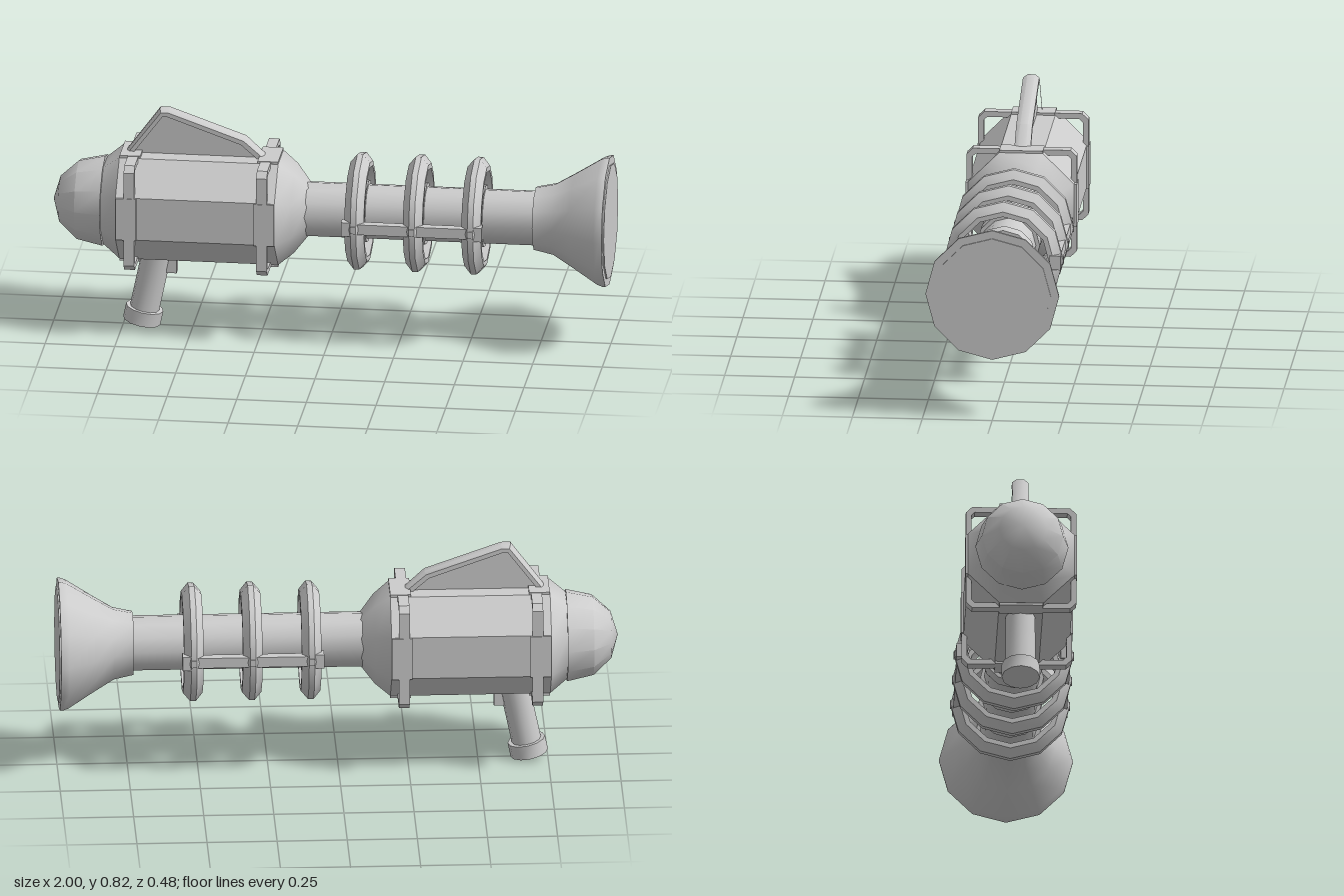
import * as THREE from 'three';
import { toCreasedNormals } from 'three/addons/utils/BufferGeometryUtils.js';

const AXIS = 0.463; // height of the barrel axis

export function createModel() {
  const model = new THREE.Group();
  model.name = 'rayGun';
  const grey = new THREE.MeshStandardMaterial({ color: 0xcccccc });
  grey.name = 'light grey';

  const add = (name, geometry, x = 0, y = 0, z = 0) => {
    const mesh = new THREE.Mesh(toCreasedNormals(geometry, 0.62), grey);
    mesh.name = name;
    mesh.position.set(x, y, z);
    model.add(mesh);
    return mesh;
  };
  const box = (name, w, h, d, x, y, z) => add(name, new THREE.BoxGeometry(w, h, d), x, y, z);
  // Profile of [x, radius] pairs turned around the barrel axis
  const turned = (name, profile, sides, phase = 0, x = 0) => {
    const g = new THREE.LatheGeometry(profile.map(([px, r]) => new THREE.Vector2(r, px)), sides, phase);
    return add(name, g.rotateZ(-Math.PI / 2), x, AXIS, 0);
  };
  const polygon = (points, Type = THREE.Shape) =>
    new Type(points.map(([a, b]) => new THREE.Vector2(a, b)));

  // Octagonal body, rear dome, barrel and flared muzzle
  turned('body', [[-0.82, 0], [-0.82, 0.152], [-0.755, 0.2057], [-0.185, 0.2057],
    [-0.13, 0.16], [-0.08, 0.095], [-0.08, 0]], 8, Math.PI / 8);
  turned('rearDome', [[-1, 0], [-0.975, 0.085], [-0.91, 0.145], [-0.815, 0.166], [-0.815, 0]], 12);
  turned('barrel', [[-0.12, 0], [-0.12, 0.099], [0.76, 0.099], [0.76, 0]], 12);
  turned('muzzle', [[0.73, 0], [0.73, 0.115], [0.8, 0.13], [0.87, 0.172], [0.965, 0.232],
    [0.985, 0.239], [0.995, 0.239], [0.995, 0.21], [1, 0.21], [1, 0]], 12);

  // Bevelled rings and barrel collars
  for (const x of [0.1, 0.31, 0.52]) {
    turned('ring', [[-0.035, 0.165], [-0.035, 0.183], [-0.01, 0.213], [0.01, 0.213],
      [0.035, 0.183], [0.035, 0.165], [-0.035, 0.165]], 12, 0, x);
    turned('barrelCollar', [[-0.03, 0.09], [-0.03, 0.113], [0.03, 0.113], [0.03, 0.09]], 12, 0, x);
  }
  // Rails joining the rings on both sides
  for (const s of [-1, 1]) {
    box('ringRail', 0.5, 0.038, 0.034, 0.308, AXIS, s * 0.186);
    for (const x of [0.072, 0.545]) box('railEnd', 0.032, 0.052, 0.04, x, AXIS, s * 0.186);
    for (const x of [0.1, 0.31, 0.52]) box('railStud', 0.02, 0.026, 0.02, x, AXIS, s * 0.204);
  }

  // Square frames with clipped corners, and pads on the four flat sides
  const clippedSquare = (r, c) => [[r, -r + c], [r, r - c], [r - c, r], [-r + c, r],
    [-r, r - c], [-r, -r + c], [-r + c, -r], [r - c, -r]];
  for (const [x, padX] of [[-0.706, -0.717], [-0.23, -0.222]]) {
    const shape = polygon(clippedSquare(0.197, 0.022));
    shape.holes.push(polygon(clippedSquare(0.177, 0.012), THREE.Path));
    const frame = new THREE.ExtrudeGeometry(shape, { depth: 0.038, bevelEnabled: false });
    add('bodyFrame', frame.translate(0, 0, -0.019).rotateY(Math.PI / 2), x, AXIS, 0);
    for (const s of [-1, 1]) {
      box('sidePad', 0.074, 0.156, 0.02, padX, AXIS, s * 0.189);
      box('endPad', 0.074, 0.02, 0.156, padX, AXIS + s * 0.189, 0);
    }
  }

  // Top fin: thick bevelled rim around a thin panel
  const finShape = polygon([[-0.75, 0.63], [-0.612, 0.812], [-0.585, 0.812], [-0.315, 0.717], [-0.215, 0.63]]);
  const panel = new THREE.ExtrudeGeometry(finShape, { depth: 0.024, bevelEnabled: false });
  add('finPanel', panel, 0, 0, -0.012);
  finShape.holes.push(polygon([[-0.722, 0.642], [-0.606, 0.797], [-0.59, 0.797],
    [-0.325, 0.703], [-0.255, 0.642]], THREE.Path));
  const rim = new THREE.ExtrudeGeometry(finShape,
    { depth: 0.026, bevelThickness: 0.016, bevelSize: 0.01, bevelSegments: 1 });
  add('finRim', rim, 0, 0, -0.013);

  // Raked grip with end cap
  const grip = new THREE.Group();
  grip.name = 'grip';
  const gripPart = (name, radius, height, y) => {
    const part = add(name, new THREE.CylinderGeometry(radius, radius, height, 12), 0, y, 0);
    grip.add(part);
  };
  gripPart('gripShaft', 0.053, 0.3, 0.18);
  gripPart('gripCap', 0.068, 0.052, 0.026);
  grip.position.set(-0.684, 0.014, 0);
  grip.rotation.z = -0.205;
  model.add(grip);

  // Trigger
  box('trigger', 0.036, 0.09, 0.036, -0.575, 0.248, 0);
  box('triggerMount', 0.07, 0.03, 0.03, -0.6, 0.225, 0);

  return model;
}
